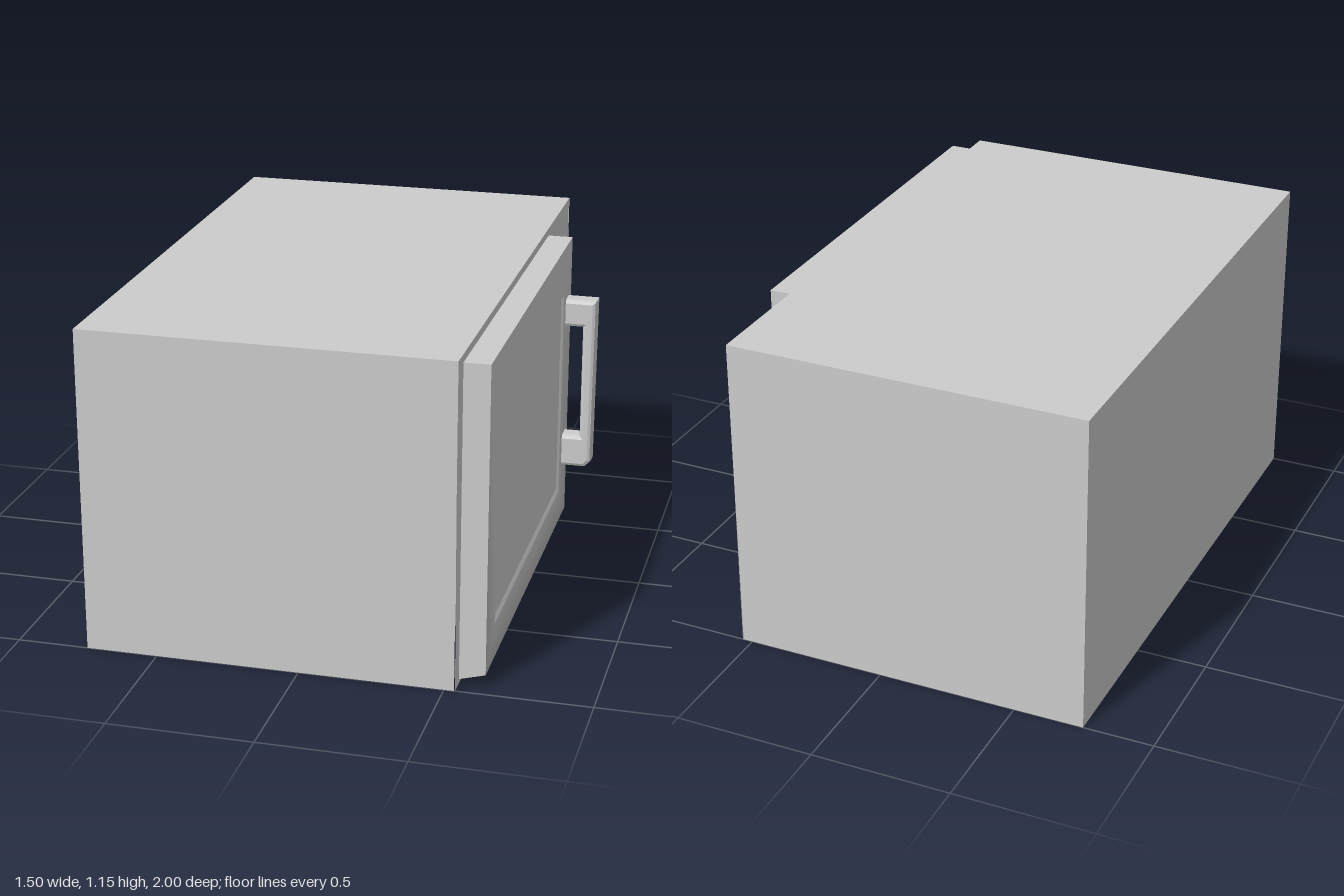
import * as THREE from 'three';

const material = new THREE.MeshStandardMaterial({ color: 0xcccccc, side: THREE.DoubleSide });

function add(group, name, geometry) {
  const mesh = new THREE.Mesh(geometry, material);
  mesh.name = name;
  group.add(mesh);
  return mesh;
}

// Box between two corners, with some sides left out (order: +x -x +y -y +z -z)
function openBox(min, max, omit) {
  const size = max.map((v, i) => v - min[i]);
  const geometry = new THREE.BoxGeometry(...size);
  const index = Array.from(geometry.index.array);
  geometry.setIndex(index.filter((_, i) => !omit.includes(Math.floor(i / 6))));
  geometry.clearGroups();
  return geometry.translate(...max.map((v, i) => (v + min[i]) / 2));
}

// Rectangle facing +x, at depth x; the bottom edge may sit at its own depth
const ring = (x, y0, y1, z0, z1) => [[x, y0, z1], [x, y0, z0], [x, y1, z0], [x, y1, z1]];

// Door slab lofted from rectangles, from its back to the sunken window
function doorGeometry() {
  const rings = [
    ring(0.54, 0.02, 1.13, -0.53, 0.95),
    ring(0.63, 0.045, 1.13, -0.53, 0.95),
    ring(0.63, 0.17, 0.95, -0.38, 0.81),
    ring(0.622, 0.185, 0.938, -0.37, 0.797),
  ];
  const points = [];
  const quad = (a, b, c, d) => points.push(...a, ...b, ...c, ...a, ...c, ...d);
  for (let r = 0; r < rings.length - 1; r++) {
    for (let i = 0; i < 4; i++) {
      const j = (i + 1) % 4;
      quad(rings[r][i], rings[r][j], rings[r + 1][j], rings[r + 1][i]);
    }
  }
  quad(...rings[3]);
  quad(...[...rings[0]].reverse());
  const geometry = new THREE.BufferGeometry();
  geometry.setAttribute('position', new THREE.Float32BufferAttribute(points, 3));
  geometry.computeVertexNormals();
  // Soften the lower front edge
  const p = geometry.attributes.position, n = geometry.attributes.normal;
  for (let i = 0; i < p.count; i++) {
    const onEdge = p.getX(i) > 0.62 && p.getY(i) < 0.1;
    if (onEdge && Math.abs(n.getZ(i)) < 0.5) n.setXYZ(i, 0.7, -0.714, 0);
  }
  return geometry;
}

// Slightly leaning front with a very shallow swelling on the control side
function frontGeometry() {
  const geometry = new THREE.PlaneGeometry(2, 1.15, 40, 24);
  geometry.rotateY(Math.PI / 2).translate(0, 0.575, 0);
  const p = geometry.attributes.position;
  for (let i = 0; i < p.count; i++) {
    const y = p.getY(i), z = p.getZ(i);
    const swell = Math.exp(-(((z + 0.8) / 0.09) ** 2) - ((y - 0.98) / 0.1) ** 2);
    p.setX(i, 0.538 - 0.005 * (y / 1.15) + 0.007 * swell);
  }
  geometry.computeVertexNormals();
  return geometry;
}

// C-shaped pull with chamfered edges
function handleGeometry() {
  const bevel = 0.014;
  const outline = [
    [0.62, 0.274], [0.712, 0.274], [0.727, 0.29], [0.731, 0.906], [0.62, 0.906],
    [0.62, 0.829], [0.709, 0.829], [0.709, 0.371], [0.62, 0.371],
  ];
  const shape = new THREE.Shape(outline.map(([x, y]) => new THREE.Vector2(x, y)));
  const geometry = new THREE.ExtrudeGeometry(shape, {
    depth: 0.044, bevelEnabled: true, bevelSize: bevel, bevelThickness: 0.018, bevelSegments: 2,
  });
  return geometry.translate(0, 0, -0.482);
}

export function createModel() {
  const model = new THREE.Group();
  model.name = 'microwaveOven';

  // Casing, open underneath, with its own front panel
  add(model, 'casing', openBox([-0.75, 0, -1], [0.535, 1.15, 1], [0, 3]));
  add(model, 'frontPanel', frontGeometry());

  // Cooking chamber inside the casing
  add(model, 'cookingChamber', openBox([-0.6, 0.185, -0.5], [0.53, 0.96, 0.89], [0]));

  // Door and its handle
  const door = new THREE.Group();
  door.name = 'door';
  add(door, 'doorSlab', doorGeometry());
  add(door, 'handle', handleGeometry());
  model.add(door);

  return model;
}
